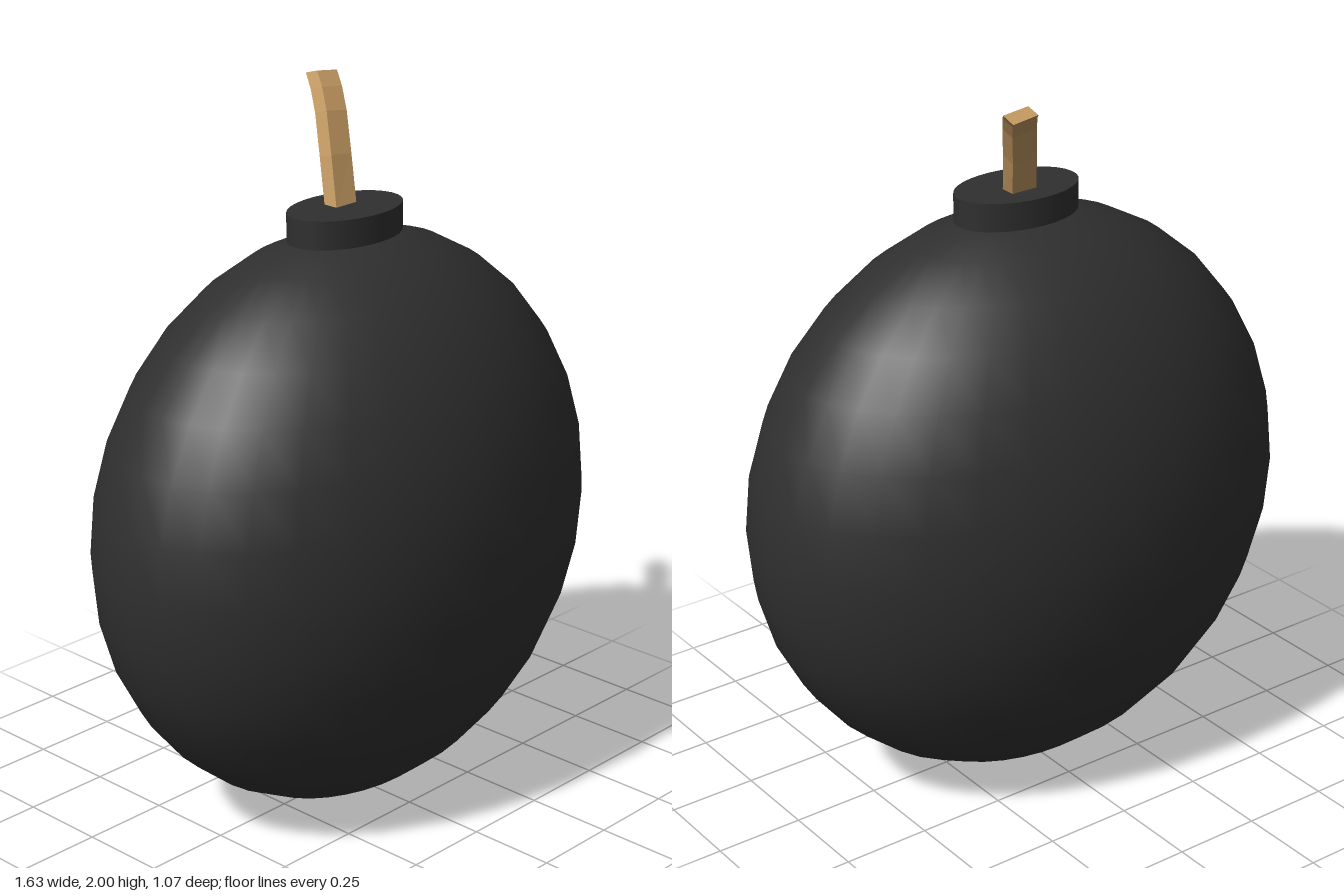
import * as THREE from 'three';

const DEPTH = 0.655; // front-to-back flattening of body and collar

function fuseGeometry() {
  // front-left corner of each cross-section, from inside the collar to the tip
  const path = [
    [-0.045, 1.65, 0.015],
    [-0.033, 1.69, 0],
    [0.01, 1.82, -0.06],
    [0.06, 1.92, -0.125],
    [0.1, 1.97, -0.18],
    [0.14, 2.0, -0.237],
  ];
  const positions = [];
  const index = [];
  path.forEach(([x, y, z], i) => {
    const drop = 0.012 * Math.min(1, i / 2);
    positions.push(
      x, y, z,
      x + 0.078, y - drop * 0.8, z,
      x + 0.078, y - drop * 1.9, z - 0.043,
      x, y - drop, z - 0.043
    );
    if (i === 0) return;
    for (let k = 0; k < 4; k++) {
      const a = (i - 1) * 4 + k;
      const b = (i - 1) * 4 + ((k + 1) % 4);
      index.push(a, b, b + 4, a, b + 4, a + 4);
    }
  });
  // end caps
  const t = (path.length - 1) * 4;
  index.push(t, t + 1, t + 2, t, t + 2, t + 3, 0, 2, 1, 0, 3, 2);

  const geometry = new THREE.BufferGeometry();
  geometry.setAttribute('position', new THREE.Float32BufferAttribute(positions, 3));
  geometry.setIndex(index);
  const flat = geometry.toNonIndexed();
  flat.computeVertexNormals();
  return flat;
}

export function createModel() {
  const group = new THREE.Group();
  const dark = new THREE.MeshStandardMaterial({ color: 0x2f2f2f });
  const tan = new THREE.MeshStandardMaterial({ color: 0xbf965f, flatShading: true });

  const add = (name, geometry, material) => {
    const mesh = new THREE.Mesh(geometry, material);
    mesh.name = name;
    group.add(mesh);
  };

  // flattened round body
  add('body', new THREE.SphereGeometry(0.815, 32, 16).scale(1, 1, DEPTH).translate(0, 0.815, 0), dark);

  // oval collar on top
  add('collar', new THREE.CylinderGeometry(0.186, 0.186, 0.078, 32).scale(1, 1, DEPTH).translate(0, 1.655, 0), dark);

  // bent fuse leaning back and to the left
  add('fuse', fuseGeometry(), tan);

  return group;
}
